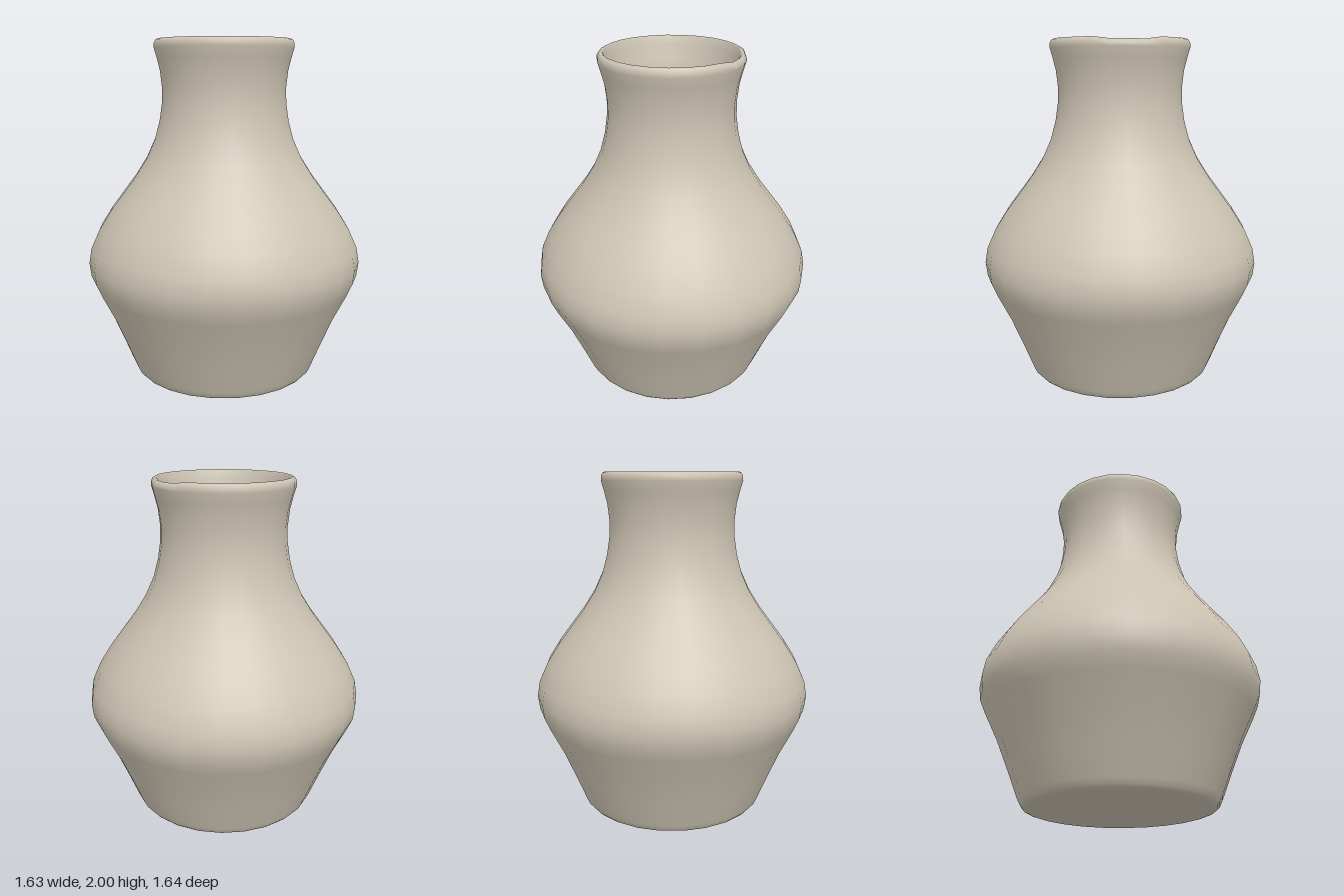
import * as THREE from 'three';

const SEGMENTS = 25;

// Outer wall, from the foot up to the lip
const outer = [
  [0.55, 0.02], [0.565, 0.05], [0.625, 0.2], [0.7, 0.38], [0.775, 0.53],
  [0.81, 0.61], [0.82, 0.69], [0.805, 0.78], [0.755, 0.89], [0.685, 1.0],
  [0.61, 1.1], [0.535, 1.2], [0.465, 1.31], [0.415, 1.42], [0.385, 1.53],
  [0.37, 1.63], [0.367, 1.72], [0.378, 1.82], [0.395, 1.89], [0.412, 1.95],
];
const lip = [[0.411, 1.975], [0.402, 1.992], [0.388, 2.0], [0.378, 1.992]];

// Inner wall, from the lip down to the floor
const inner = [
  [0.37, 1.95], [0.35, 1.87], [0.33, 1.79], [0.324, 1.7], [0.328, 1.62],
  [0.345, 1.52], [0.375, 1.41], [0.425, 1.3], [0.495, 1.19], [0.57, 1.08],
  [0.645, 0.97], [0.715, 0.87], [0.76, 0.77], [0.775, 0.69], [0.765, 0.61],
  [0.73, 0.53], [0.655, 0.38], [0.58, 0.2], [0.53, 0.07], [0.51, 0.05],
  [0.49, 0.045], [0, 0.045],
];

function lathe(name, points, material) {
  const profile = points.map(([r, y]) => new THREE.Vector2(r, y));
  const geometry = new THREE.LatheGeometry(profile, SEGMENTS, Math.PI / 2);
  // Slight dip worn into the left side of the lip
  const pos = geometry.attributes.position;
  for (let i = 0; i < pos.count; i++) {
    const angle = Math.abs(Math.atan2(pos.getZ(i), pos.getX(i)));
    if (pos.getY(i) > 1.97 && angle < 0.35) pos.setY(i, pos.getY(i) - 0.012);
  }
  const mesh = new THREE.Mesh(geometry, material);
  mesh.name = name;
  return mesh;
}

export function createModel() {
  const clay = new THREE.MeshStandardMaterial({ color: 0xcdc4b3 });
  clay.name = 'pale clay';

  const vase = new THREE.Group();
  vase.name = 'vase';
  // One continuous shell: flat foot, body, lip and hollow inside
  const foot = [[0, 0], [0.5, 0], [0.52, 0.001], [0.538, 0.007]];
  vase.add(lathe('vaseShell', [...foot, ...outer, ...lip, ...inner], clay));
  return vase;
}
